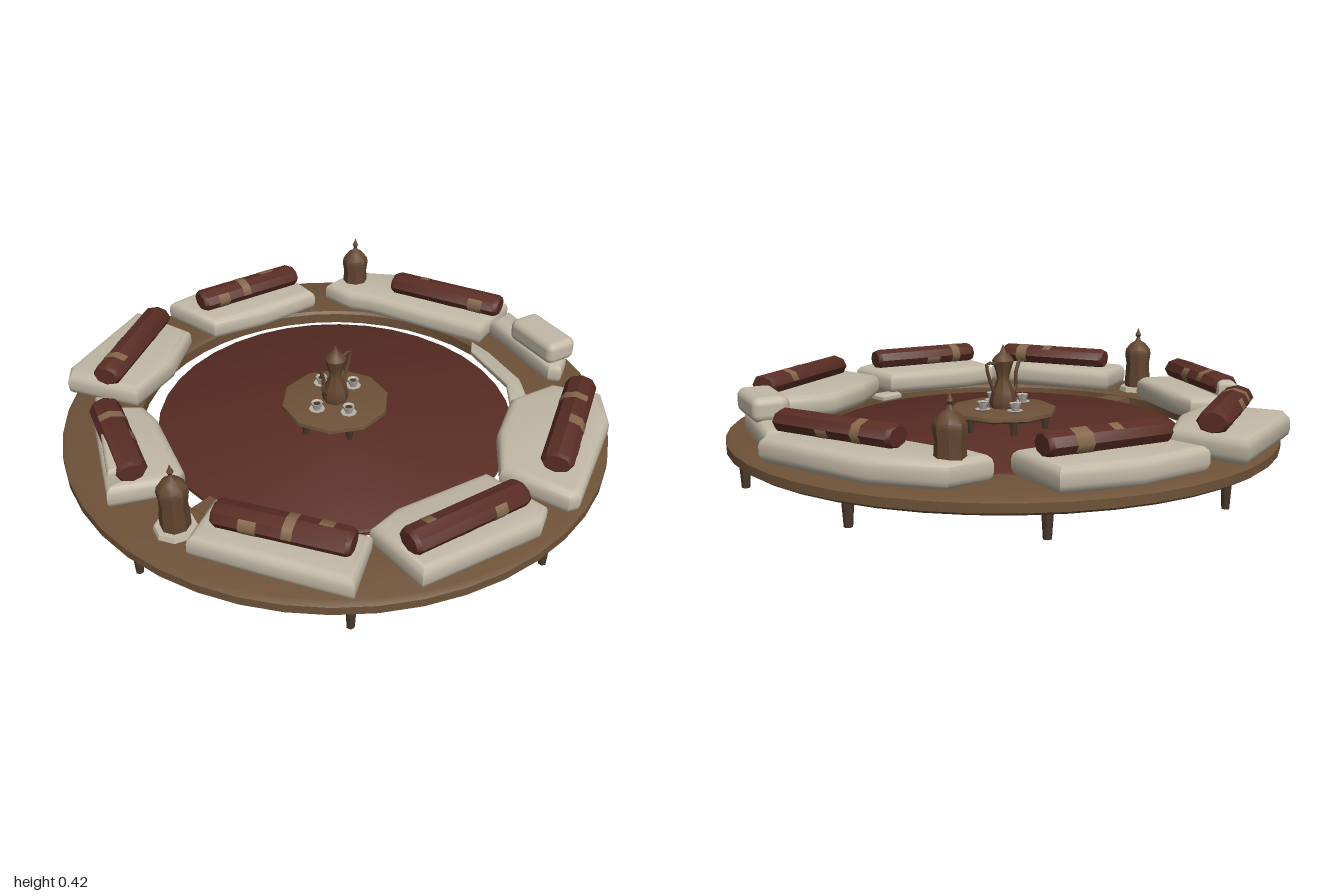
import * as THREE from 'three';
import { toCreasedNormals } from 'three/addons/utils/BufferGeometryUtils.js';
import { RoundedBoxGeometry } from 'three/addons/geometries/RoundedBoxGeometry.js';

const paint = (name, color) => {
  const m = new THREE.MeshStandardMaterial({ color });
  m.name = name;
  return m;
};

export function createModel() {
  const wood = paint('brown wood', 0x6e5238);
  const red = paint('dark red cloth', 0x592d24);
  const cream = paint('cream cloth', 0xc2b9a6);
  const grey = paint('grey underside', 0x56524d);
  const tan = paint('worn tan', 0x86694c);
  tan.side = THREE.DoubleSide;
  const bronze = paint('bronze', 0x634630);
  const china = paint('grey china', 0xb4b0aa);
  const dark = paint('dark brown legs', 0x4c3a2c);

  const model = new THREE.Group();
  const add = (name, geo, mat, x = 0, y = 0, z = 0, parent = model) => {
    const mesh = new THREE.Mesh(geo, mat);
    mesh.name = name;
    mesh.position.set(x, y, z);
    parent.add(mesh);
    return mesh;
  };
  const group = (name, x, y, z) => {
    const g = new THREE.Group();
    g.name = name;
    g.position.set(x, y, z);
    model.add(g);
    return g;
  };
  const turned = (profile, sides) => toCreasedNormals(
    new THREE.LatheGeometry(profile.map(([r, y]) => new THREE.Vector2(r, y)), sides), 0.7);

  // soft pad from an outline of [x, z] corners, between two heights
  const pad = (name, outline, low, high, bevel = 0.03, mat = cream) => {
    const shape = new THREE.Shape(outline.map(([x, z]) => new THREE.Vector2(x, -z)));
    const geo = new THREE.ExtrudeGeometry(shape, {
      depth: high - low - 2 * bevel, bevelEnabled: true, bevelThickness: bevel,
      bevelSize: bevel, bevelOffset: -bevel, bevelSegments: 3,
    });
    geo.rotateX(-Math.PI / 2);
    return add(name, toCreasedNormals(geo, 0.8), mat, 0, low + bevel, 0);
  };

  // ring platform with its underside
  add('ringPlatform', turned([[0.98, 0.08], [0.995, 0.09], [0.995, 0.12], [0.975, 0.132],
    [0.73, 0.13], [0.72, 0.12], [0.72, 0.08]], 44), wood);
  add('ringUnderside', turned([[0.72, 0.08], [0.98, 0.08]], 44), grey);

  // nine short legs
  for (let i = 0; i < 9; i++) {
    const a = (i / 9) * Math.PI * 2 + (i > 0 && i < 9 ? Math.sin((i / 9) * Math.PI * 2) * 0.12 : 0);
    const leg = add('platformLeg', new THREE.CylinderGeometry(0.02, 0.014, 0.09, 6), dark,
      Math.sin(a) * 0.955, 0.045, Math.cos(a) * 0.955);
    leg.rotation.y = a;
  }

  // round carpet with a wooden base and a small bridge to the ring
  add('carpet', turned([[0.652, 0.1], [0.655, 0.108], [0.645, 0.115], [0, 0.115]], 36), red);
  add('carpetBase', turned([[0, 0.092], [0.652, 0.092], [0.652, 0.1]], 36), wood);
  add('bridge', new THREE.BoxGeometry(0.1, 0.025, 0.1), wood, 0.05, 0.105, 0.685);

  // seat pads around the ring
  const pads = [
    [[0.56, -0.58], [0.73, -0.65], [0.84, -0.52], [0.98, -0.1], [0.96, -0.06], [0.71, -0.03], [0.58, -0.2], [0.5, -0.4]],
    [[0.68, 0.01], [0.93, 0.02], [0.96, 0.1], [0.82, 0.53], [0.57, 0.48], [0.57, 0.35]],
    [[0.1, 0.7], [0.36, 0.59], [0.6, 0.5], [0.7, 0.7], [0.45, 0.8], [0.18, 0.9]],
    [[-0.6, 0.65], [-0.46, 0.52], [-0.36, 0.54], [-0.08, 0.67], [-0.06, 0.72], [-0.18, 0.92]],
    [[-1.0, 0.1], [-0.72, 0.06], [-0.6, 0.26], [-0.55, 0.48], [-0.82, 0.59], [-0.87, 0.54]],
    [[-0.81, -0.55], [-0.56, -0.5], [-0.61, -0.25], [-0.69, -0.04], [-0.95, -0.03], [-0.92, -0.3]],
    [[-0.57, -0.58], [-0.56, -0.75], [-0.35, -0.89], [0.1, -0.97], [0.14, -0.72], [-0.35, -0.62], [-0.43, -0.58]],
    [[0.14, -0.92], [0.5, -0.78], [0.53, -0.7], [0.49, -0.67], [0.13, -0.8]],
  ];
  pads.forEach((outline) => pad('seatPad', outline, 0.13, 0.218));
  pad('backRest', [[-0.57, 0.65], [-0.52, 0.61], [-0.16, 0.8], [-0.19, 0.9]], 0.15, 0.275, 0.02);
  pad('edgeCloth', [[0.1, -0.72], [0.2, -0.7], [0.4, -0.62], [0.53, -0.5], [0.5, -0.42],
    [0.38, -0.56], [0.14, -0.66]], 0.115, 0.14, 0.008);
  pad('edgeCloth', [[0.64, -0.06], [0.72, -0.06], [0.72, 0.06], [0.65, 0.04]], 0.115, 0.14, 0.008);

  // bolsters with worn patches, each from one end to the other
  const bolsters = [
    [0.67, -0.6, 0.86, -0.13], [0.85, 0.06, 0.73, 0.49], [0.19, 0.78, 0.61, 0.6],
    [-0.52, 0.65, -0.15, 0.83], [-0.86, 0.1, -0.66, 0.53], [-0.69, -0.5, -0.81, -0.08],
    [-0.32, -0.74, 0.13, -0.86],
  ];
  bolsters.forEach(([x0, z0, x1, z1], n) => {
    const g = group('bolster', (x0 + x1) / 2, 0.252, (z0 + z1) / 2);
    const dx = x1 - x0, dz = z1 - z0, h = Math.hypot(dx, dz) / 2;
    g.rotation.y = Math.atan2(-dz, dx);
    const lay = (geo) => geo.rotateZ(Math.PI / 2).scale(1, 0.72, 1);
    add('bolsterRoll', lay(turned([[0, -h], [0.046, -h], [0.056, -h + 0.015],
      [0.056, h - 0.015], [0.046, h], [0, h]], 8)), red, 0, 0, 0, g);
    [-0.45, 0.12, 0.6].forEach((t, k) => {
      const patch = new THREE.CylinderGeometry(0.0575, 0.0575, 0.035 + 0.012 * ((n + k) % 3),
        3, 1, true, ((n * 3 + k * 2) % 8) * Math.PI / 4, Math.PI * 0.75);
      add('wornPatch', lay(patch), tan, t * h, 0, 0, g);
    });
  });

  // spare cushion lying on the plain pad
  const spare = add('spareCushion', new RoundedBoxGeometry(0.25, 0.09, 0.13, 3, 0.03), cream, 0.39, 0.25, -0.77);
  spare.rotation.y = -0.3;

  // two lidded jars
  const jarProfile = [[0, 0], [0.05, 0], [0.052, 0.03], [0.047, 0.1], [0.053, 0.14], [0.05, 0.16],
    [0.03, 0.185], [0.012, 0.195], [0.006, 0.21], [0.012, 0.22], [0.005, 0.235], [0, 0.25]];
  [[0.05, 0.145, 0.83], [-0.5, 0.162, -0.69]].forEach(([x, y, z]) =>
    add('liddedJar', turned(jarProfile, 8), bronze, x, y, z));
  add('jarCloth', turned([[0.075, 0.13], [0.07, 0.148], [0, 0.15]], 8), cream, 0.05, 0, 0.83);

  // low table
  const table = group('table', 0, 0, 0);
  add('tableTop', turned([[0, 0.163], [0.19, 0.163], [0.2, 0.17], [0.198, 0.183], [0.185, 0.187], [0, 0.185]], 10),
    wood, 0, 0, 0, table);
  for (let i = 0; i < 6; i++) {
    const a = (i / 6) * Math.PI * 2;
    add('tableLeg', new THREE.CylinderGeometry(0.016, 0.01, 0.055, 6), dark,
      Math.sin(a) * 0.16, 0.14, Math.cos(a) * 0.16, table);
  }

  // coffee pot with spout and handle
  const pot = group('coffeePot', 0, 0.185, 0);
  add('potBody', turned([[0, 0], [0.045, 0], [0.05, 0.02], [0.042, 0.06], [0.022, 0.105], [0.026, 0.13],
    [0.04, 0.175], [0.03, 0.19], [0.012, 0.205], [0.006, 0.22], [0, 0.235]], 8), bronze, 0, 0, 0, pot);
  const tube = (name, pts, r) => add(name, new THREE.TubeGeometry(
    new THREE.CatmullRomCurve3(pts.map(([y, z]) => new THREE.Vector3(0, y, z))), 10, r, 6), bronze, 0, 0, 0, pot);
  tube('potSpout', [[0.04, 0.04], [0.07, 0.065], [0.12, 0.065], [0.17, 0.085]], 0.007);
  tube('potHandle', [[0.165, -0.03], [0.17, -0.08], [0.12, -0.07], [0.05, -0.04]], 0.006);

  // four small cups on saucers
  [[0, -0.1], [-0.1, -0.035], [0.1, 0.04], [0, 0.1]].forEach(([x, z]) => {
    const cup = group('cup', x, 0.186, z);
    add('saucer', turned([[0, 0], [0.018, 0], [0.03, 0.008], [0, 0.006]], 8), china, 0, 0, 0, cup);
    add('cupBowl', turned([[0.012, 0.006], [0.022, 0.035], [0.019, 0.035], [0, 0.018]], 8), china, 0, 0, 0, cup);
    add('coffee', new THREE.CylinderGeometry(0.0165, 0.0145, 0.004, 8), dark, 0, 0.028, 0, cup);
  });

  return model;
}
